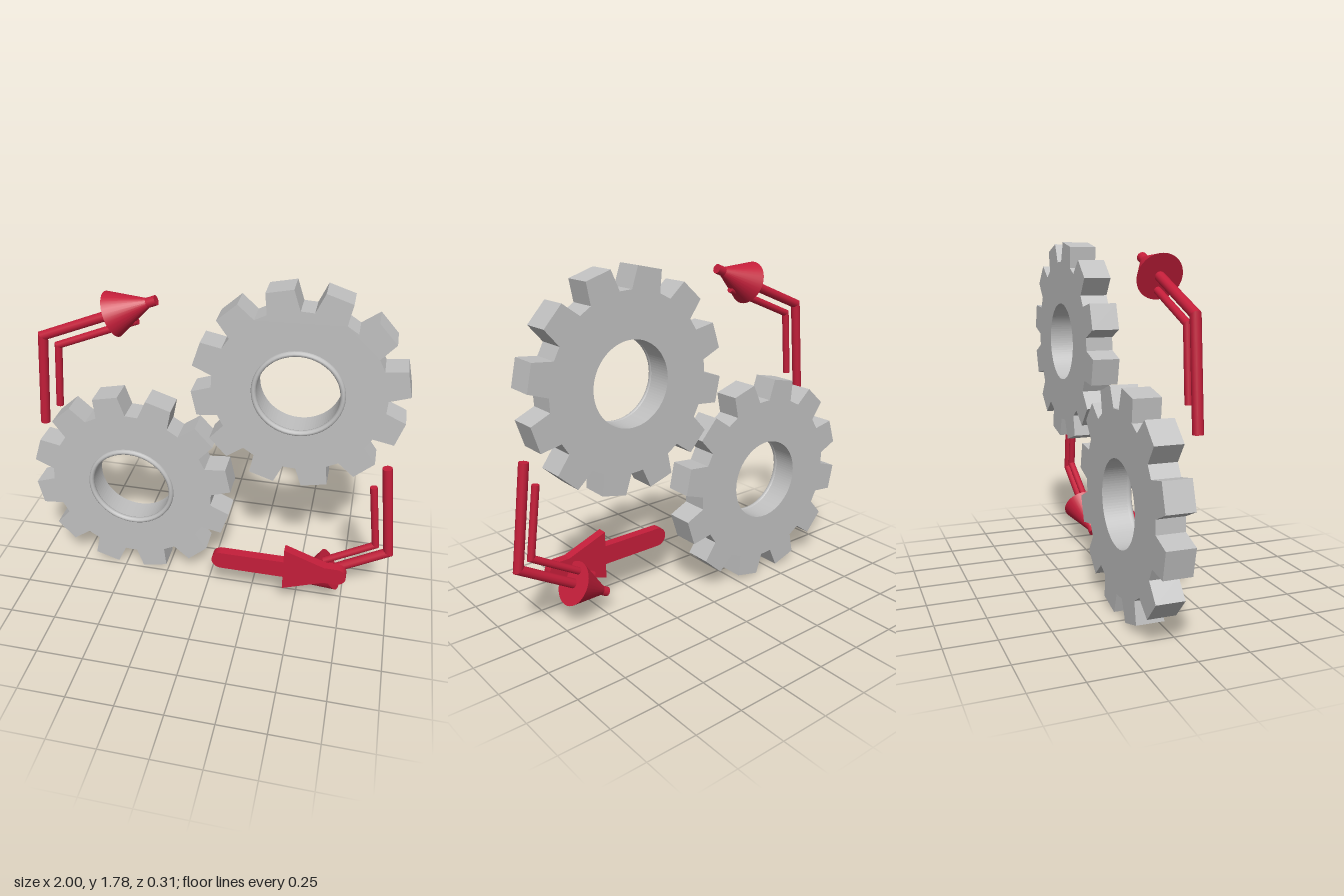
import * as THREE from 'three';

const grey = new THREE.MeshStandardMaterial({ color: 0xc0c0c0 });
grey.name = 'gear grey';
const red = new THREE.MeshStandardMaterial({ color: 0xc41e3a });
red.name = 'arrow red';

function add(parent, name, geometry, material) {
  const mesh = new THREE.Mesh(geometry, material);
  mesh.name = name;
  parent.add(mesh);
  return mesh;
}

// Twelve-toothed gear of outer radius r with a round bore and a raised rim
function gear(name, x, y, r) {
  const group = new THREE.Group();
  group.name = name;
  const deg = Math.PI / 180, points = [];
  for (let i = 0; i < 12; i++) {
    const mid = 12.2 + i * 30;
    for (const [offset, scale] of [[-10.6, 0.806], [-7.2, 1], [7.2, 1], [10.6, 0.806]]) {
      const a = (mid + offset) * deg;
      points.push(new THREE.Vector2(Math.cos(a) * r * scale, Math.sin(a) * r * scale));
    }
  }
  const shape = new THREE.Shape(points);
  const bore = new THREE.Path();
  bore.absarc(0, 0, r * 0.387, 0, Math.PI * 2, true);
  shape.holes.push(bore);
  const body = new THREE.ExtrudeGeometry(shape, { depth: 0.14, bevelEnabled: false, curveSegments: 48 });
  add(group, 'toothedBody', body, grey).position.z = -0.157;

  const rim = add(group, 'boreRim', new THREE.TorusGeometry(r * 0.407, r * 0.025, 10, 48), grey);
  rim.position.z = -0.017;
  rim.scale.z = 1.25;
  group.position.set(x, y, 0);
  return group;
}

// Rod through three points in the xy plane, mitred at the bend
function bentRod(parent, name, radius, pts) {
  const [a, b, c] = pts.map(p => new THREE.Vector2(...p));
  const angle1 = Math.atan2(b.y - a.y, b.x - a.x);
  const angle2 = Math.atan2(c.y - b.y, c.x - b.x);
  const mitre = Math.tan((angle2 - angle1) / 2);
  [[a, b, angle1, 1], [b, c, angle2, -1]].forEach(([p, q, angle, end]) => {
    const geo = new THREE.CylinderGeometry(radius, radius, p.distanceTo(q), 12);
    const pos = geo.attributes.position;
    for (let i = 0; i < pos.count; i++) {
      if (pos.getY(i) * end > 0) pos.setY(i, pos.getY(i) + end * pos.getX(i) * mitre);
    }
    const rod = add(parent, name + (end > 0 ? 'Start' : 'End'), geo, red);
    rod.position.set((p.x + q.x) / 2, (p.y + q.y) / 2, 0);
    rod.rotation.z = angle - Math.PI / 2;
  });
}

// Bent arrow: thick and thin rods with a cone at the thick rod's tip
function bentArrow(name, outer, inner, coneBase) {
  const group = new THREE.Group();
  group.name = name;
  bentRod(group, 'outerRod', 0.025, outer);
  bentRod(group, 'innerRod', 0.019, inner);
  const angle = Math.atan2(outer[2][1] - outer[1][1], outer[2][0] - outer[1][0]);
  const length = 0.24;
  const cone = add(group, 'arrowCone', new THREE.ConeGeometry(0.113, length, 32), red);
  cone.position.set(coneBase[0] + Math.cos(angle) * length / 2, coneBase[1] + Math.sin(angle) * length / 2, 0);
  cone.rotation.z = angle - Math.PI / 2;
  group.position.z = 0.04;
  return group;
}

// Flat arrow: round-ended bar with a triangular head
function flatArrow() {
  const h = 0.051, y = 0.275;
  const shape = new THREE.Shape();
  shape.moveTo(0.098, y - h);
  shape.lineTo(0.437, y - h);
  shape.lineTo(0.437, y - 0.131);
  shape.lineTo(0.652, y - h);
  shape.lineTo(0.718, y - h);
  shape.absarc(0.718, y, h, -Math.PI / 2, Math.PI / 2, false);
  shape.lineTo(0.652, y + h);
  shape.lineTo(0.437, y + 0.131);
  shape.lineTo(0.437, y + h);
  shape.lineTo(0.098, y + h);
  shape.absarc(0.098, y, h, Math.PI / 2, Math.PI * 1.5, false);
  const geo = new THREE.ExtrudeGeometry(shape, { depth: 0.05, bevelEnabled: false, curveSegments: 16 });
  const mesh = new THREE.Mesh(geo, red);
  mesh.name = 'flatArrow';
  mesh.position.z = 0.108;
  return mesh;
}

export function createModel() {
  const model = new THREE.Group();
  model.name = 'gearsWithArrows';
  model.add(
    gear('lowerGear', -0.445, 0.558, 0.558),
    gear('upperGear', 0.436, 1.246, 0.538),
    bentArrow('upperArrow',
      [[-0.877, 0.957], [-0.834, 1.457], [-0.245, 1.697]],
      [[-0.784, 1.07], [-0.757, 1.414], [-0.34, 1.585]],
      [-0.462, 1.608]),
    bentArrow('lowerArrow',
      [[0.906, 0.92], [0.97, 0.396], [0.482, 0.109]],
      [[0.853, 0.797], [0.9, 0.433], [0.56, 0.233]],
      [0.677, 0.224]),
    flatArrow()
  );
  return model;
}
